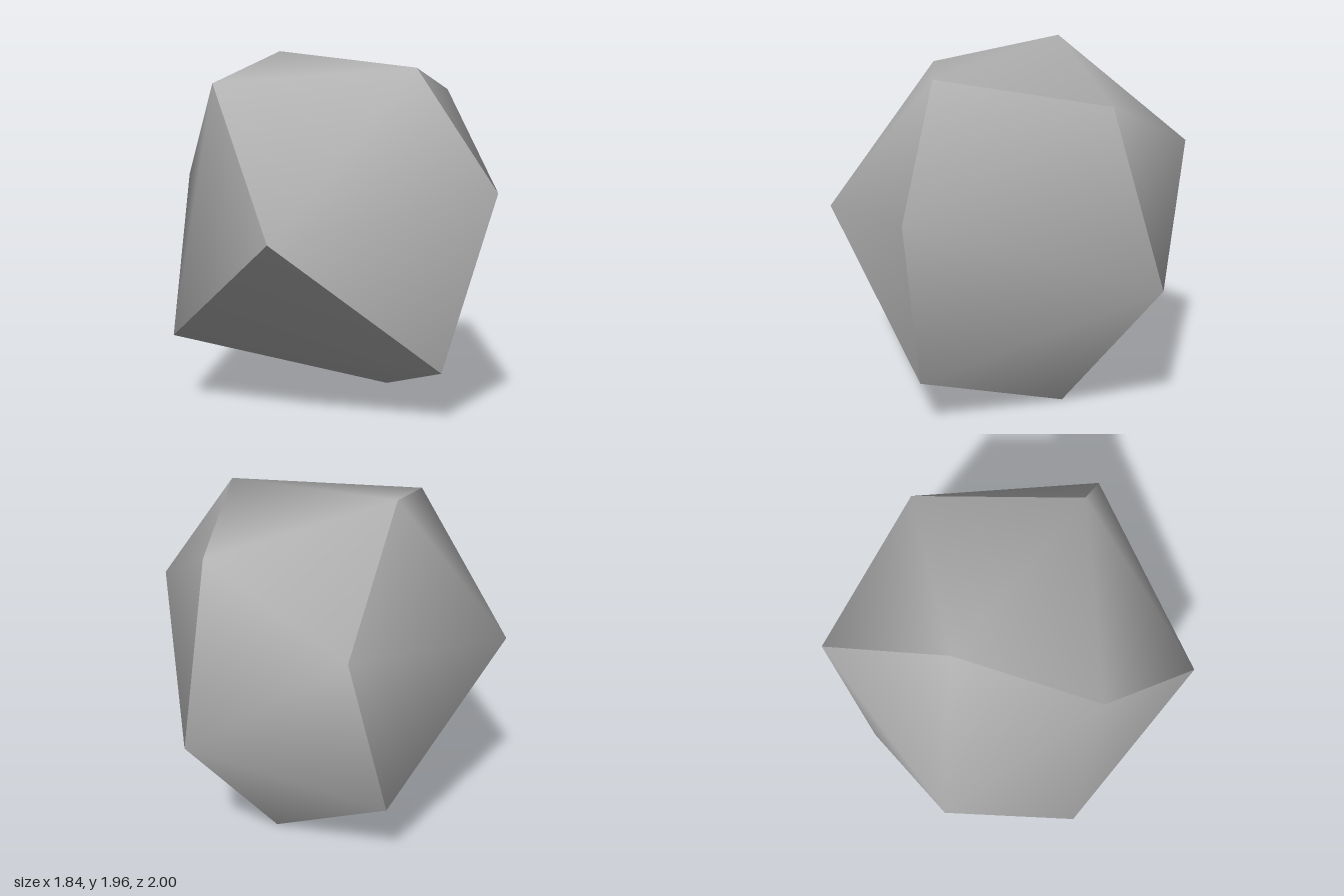
import * as THREE from 'three';

// Corner points of the faceted stone
const P = {
  A: [-0.34, 1.96, -0.31], B: [-0.57, 1.78, 0.40], C: [0.495, 1.86, 0.40],
  D: [0.63, 1.74, -0.48], E: [0.915, 1.24, 0.555], F: [0.645, 0.29, 0.495],
  G: [0.30, 0, -0.29], H: [-0.835, 0.40, 0.30], I: [-0.17, 1.025, 1],
  J: [-0.92, 1.225, -0.41], K: [-0.04, 1.41, -1], L: [0.76, 0.82, -0.74],
  M: [-0.26, 0.465, -0.84],
};

// Each side is smooth inside and meets its neighbours at a sharp edge
const SIDES = {
  crownAndBack: 'IBC ICE IEF ABC ACD ADK DLK KLM LGM',
  rightSide: 'CDE DLE ELF LGF',
  leftSide: 'BIH BHJ ABJ AJK KJM MJH',
  underside: 'IHF HGF MGH',
};

function sideGeometry(faces) {
  const names = [...new Set(faces.replaceAll(' ', ''))];
  const centre = new THREE.Vector3(0, 1, 0);
  const index = [];
  for (const face of faces.split(' ')) {
    const [a, b, c] = [...face].map((n) => new THREE.Vector3(...P[n]));
    const normal = b.clone().sub(a).cross(c.clone().sub(a));
    const [i, j, k] = [...face].map((n) => names.indexOf(n));
    // Turn every face outward
    if (normal.dot(a.sub(centre)) > 0) index.push(i, j, k);
    else index.push(i, k, j);
  }
  const geometry = new THREE.BufferGeometry();
  geometry.setAttribute('position', new THREE.Float32BufferAttribute(names.flatMap((n) => P[n]), 3));
  geometry.setIndex(index);
  geometry.computeVertexNormals();
  return geometry;
}

export function createModel() {
  const group = new THREE.Group();
  group.name = 'stone';
  const stoneGrey = new THREE.MeshStandardMaterial({ color: 0xb0b0b0 });
  stoneGrey.name = 'stone grey';
  for (const [name, faces] of Object.entries(SIDES)) {
    const mesh = new THREE.Mesh(sideGeometry(faces), stoneGrey);
    mesh.name = name;
    group.add(mesh);
  }
  return group;
}
